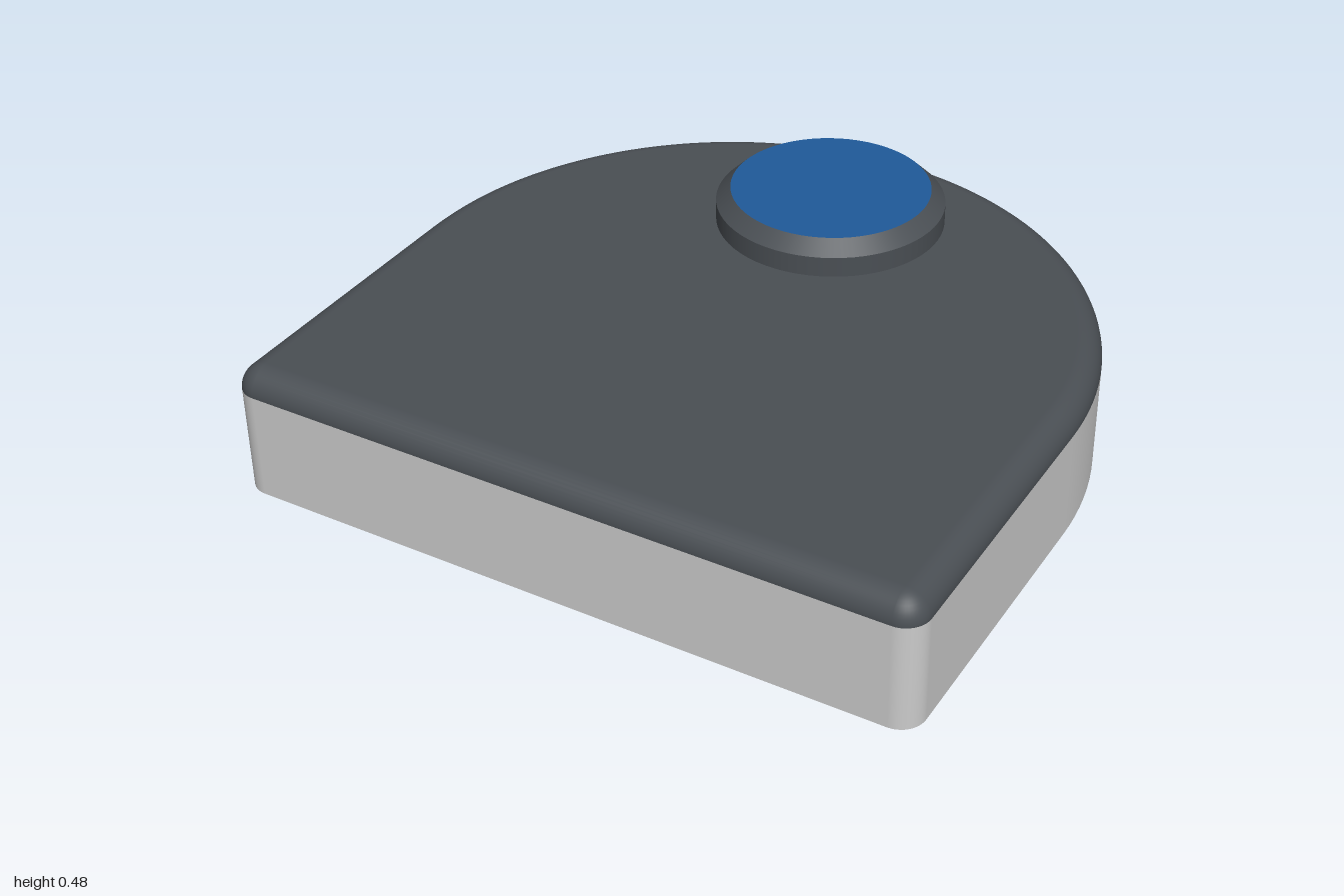
import * as THREE from 'three';

const HALF = 0.945, R = 0.07, WALL_TOP = 0.31, TOP = 0.38;

// Outline of the case: big rear arc plus two small front corners, with outward normals
function outline() {
  const pts = [];
  const arc = (cx, cz, r, a0, a1, n) => {
    for (let i = 0; i <= n; i++) {
      const t = a0 + ((a1 - a0) * i) / n;
      const nx = Math.cos(t), nz = -Math.sin(t);
      pts.push({ x: cx + r * nx, z: cz + r * nz, nx, nz });
    }
  };
  arc(0, 1 - HALF, 1, 0, Math.PI, 72);
  arc(-1 + R, HALF - R, R, Math.PI, 1.5 * Math.PI, 10);
  arc(1 - R, HALF - R, R, 1.5 * Math.PI, 2 * Math.PI, 10);
  return pts;
}

// Skin through stacked rings; each ring has inset, height and normal tilt
function skin(pts, rings) {
  const pos = [], nor = [], idx = [], n = pts.length;
  for (const { inset, y, tilt } of rings) {
    for (const p of pts) {
      pos.push(p.x - p.nx * inset, y, p.z - p.nz * inset);
      nor.push(p.nx * Math.cos(tilt), Math.sin(tilt), p.nz * Math.cos(tilt));
    }
  }
  for (let j = 0; j < rings.length - 1; j++) {
    for (let i = 0; i < n; i++) {
      const k = (i + 1) % n;
      const a = j * n + i, b = j * n + k, c = b + n, d = a + n;
      idx.push(a, b, c, a, c, d);
    }
  }
  const g = new THREE.BufferGeometry();
  g.setAttribute('position', new THREE.Float32BufferAttribute(pos, 3));
  g.setAttribute('normal', new THREE.Float32BufferAttribute(nor, 3));
  g.setIndex(idx);
  return g;
}

// Flat lid of the outline, facing up (dir = 1) or down (dir = -1)
function flat(pts, inset, y, dir) {
  const shape = new THREE.Shape(pts.map(p =>
    new THREE.Vector2(p.x - p.nx * inset, -dir * (p.z - p.nz * inset))));
  return new THREE.ShapeGeometry(shape).rotateX((-dir * Math.PI) / 2).translate(0, y, 0);
}

export function createModel() {
  const model = new THREE.Group();
  const mat = color => new THREE.MeshStandardMaterial({ color });
  const grey = mat(0xcccccc), dark = mat(0x4a4f54), black = mat(0x252628), blue = mat(0x1f5a9a);
  const add = (parent, name, geometry, material) => {
    const mesh = new THREE.Mesh(geometry, material);
    mesh.name = name;
    parent.add(mesh);
    return mesh;
  };
  const pts = outline();

  // Case: wall, underside and cover with rounded rim
  add(model, 'sideWall', skin(pts, [
    { inset: 0, y: 0, tilt: 0 }, { inset: 0, y: WALL_TOP, tilt: 0 },
  ]), grey);
  add(model, 'underside', flat(pts, 0, 0, -1), black);
  const rim = [];
  for (let i = 0; i <= 10; i++) {
    const a = (i / 10) * Math.PI / 2;
    rim.push({ inset: R * (1 - Math.cos(a)), y: WALL_TOP + R * Math.sin(a), tilt: a });
  }
  const cover = new THREE.Group();
  cover.name = 'cover';
  add(cover, 'coverRim', skin(pts, rim), dark);
  add(cover, 'coverTop', flat(pts, R, TOP, 1), dark);
  model.add(cover);

  // Button: collar, chamfer and coloured face
  const button = new THREE.Group();
  button.name = 'button';
  button.position.set(0, TOP, -0.52);
  add(button, 'buttonCollar', new THREE.CylinderGeometry(0.328, 0.328, 0.06, 64, 1, true), dark).position.y = 0.03;
  add(button, 'buttonChamfer', new THREE.CylinderGeometry(0.287, 0.328, 0.04, 64, 1, true), dark).position.y = 0.08;
  add(button, 'buttonFace', new THREE.CircleGeometry(0.287, 64).rotateX(-Math.PI / 2), blue).position.y = 0.1;
  model.add(button);

  return model;
}
